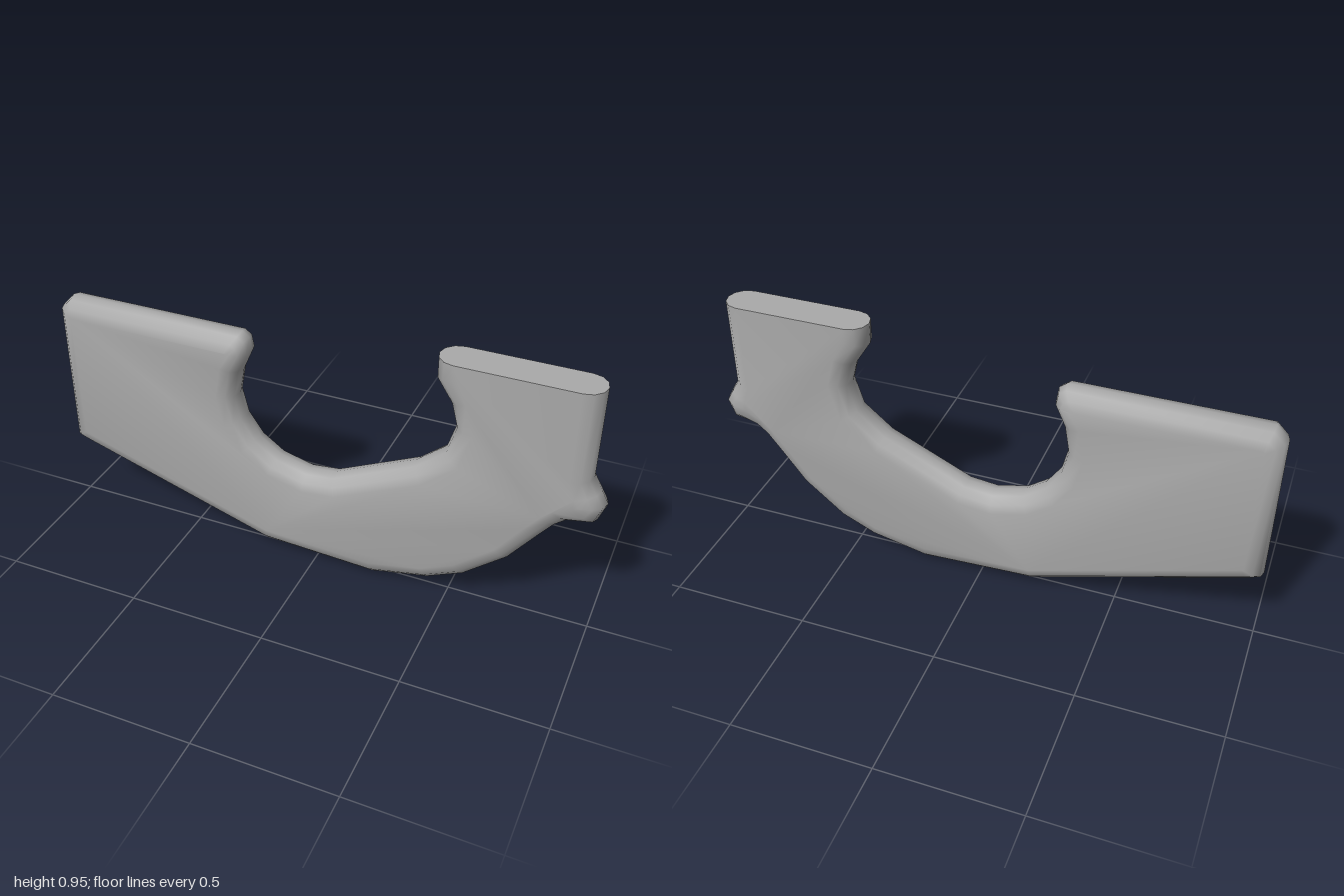
import * as THREE from 'three';
import { toCreasedNormals } from 'three/addons/utils/BufferGeometryUtils.js';

const HALF = 0.065; // half thickness, also the radius of the rounded rim

// Counter-clockwise outline: x, y and, at tight corners, where the rounding meets the flat face
const OUTLINE = [
  [-1, 0.275, -0.935, 0.32], [-0.955, 0.257, -0.93, 0.318],
  [-0.2, 0.02], [0.22, 0], [0.43, 0.045], [0.56, 0.105], [0.71, 0.23], [0.8, 0.35],
  // small knob on the outer edge
  [0.85, 0.415, 0.8, 0.455], [0.887, 0.445, 0.84, 0.49], [0.975, 0.46, 0.9, 0.52],
  [1, 0.53, 0.92, 0.53], [0.975, 0.575, 0.9, 0.555], [0.945, 0.62, 0.88, 0.62],
  // post with a flat cut top
  [0.945, 0.95], [0.41, 0.95], [0.41, 0.875],
  // inner hollow
  [0.465, 0.79], [0.487, 0.705], [0.457, 0.605], [0.355, 0.52], [0.06, 0.383],
  [-0.04, 0.372], [-0.15, 0.4], [-0.228, 0.455], [-0.28, 0.53], [-0.302, 0.62], [-0.285, 0.72],
  // rounded block
  [-0.25, 0.8, -0.31, 0.8], [-0.258, 0.85, -0.32, 0.803], [-0.285, 0.87, -0.327, 0.805],
  [-0.955, 0.87, -0.93, 0.805], [-1, 0.825, -0.935, 0.8],
];

// Inset of a corner: where its two edges meet once moved inwards; the cut top stays put
function insetPoint(i) {
  const n = OUTLINE.length;
  const [p, q, r] = [OUTLINE[(i + n - 1) % n], OUTLINE[i], OUTLINE[(i + 1) % n]];
  if (q.length === 4) return new THREE.Vector2(q[2], q[3]);
  const edge = (a, b) => {
    const l = Math.hypot(b[0] - a[0], b[1] - a[1]);
    return { x: (a[1] - b[1]) / l, y: (b[0] - a[0]) / l, d: a[1] === 0.95 && b[1] === 0.95 ? 0 : HALF };
  };
  const e = edge(p, q), f = edge(q, r);
  const det = e.x * f.y - e.y * f.x;
  if (Math.abs(det) < 1e-4) return new THREE.Vector2(q[0] + e.x * e.d, q[1] + e.y * e.d);
  return new THREE.Vector2(q[0] + (e.d * f.y - f.d * e.y) / det, q[1] + (f.d * e.x - e.d * f.x) / det);
}

function hookGeometry() {
  const n = OUTLINE.length, steps = 6;
  const core = OUTLINE.map((_, i) => insetPoint(i));
  const positions = [], index = [];

  // Rings running around the rim from the front face to the back face
  for (let j = 0; j <= steps; j++) {
    const a = Math.PI / 2 - (j / steps) * Math.PI;
    const t = 1 - Math.cos(a);
    OUTLINE.forEach(([x, y], i) => positions.push(
      THREE.MathUtils.lerp(x, core[i].x, t),
      THREE.MathUtils.lerp(y, core[i].y, t),
      HALF * Math.sin(a)));
  }
  for (let j = 0; j < steps; j++) {
    for (let i = 0; i < n; i++) {
      const k = (i + 1) % n;
      const a = j * n + i, b = a + n, c = (j + 1) * n + k, d = j * n + k;
      index.push(a, b, c, a, c, d);
    }
  }

  // Flat front and back faces
  const back = steps * n;
  for (const [a, b, c] of THREE.ShapeUtils.triangulateShape(core, [])) {
    index.push(a, b, c, back + a, back + c, back + b);
  }

  const geometry = new THREE.BufferGeometry();
  geometry.setAttribute('position', new THREE.Float32BufferAttribute(positions, 3));
  geometry.setIndex(index);
  return toCreasedNormals(geometry, 1.0);
}

export function createModel() {
  const grey = new THREE.MeshStandardMaterial({ color: 0xaaaaaa });
  grey.name = 'grey';
  const body = new THREE.Mesh(hookGeometry(), grey);
  body.name = 'hookBody';
  const model = new THREE.Group();
  model.name = 'hook';
  model.add(body);
  return model;
}
